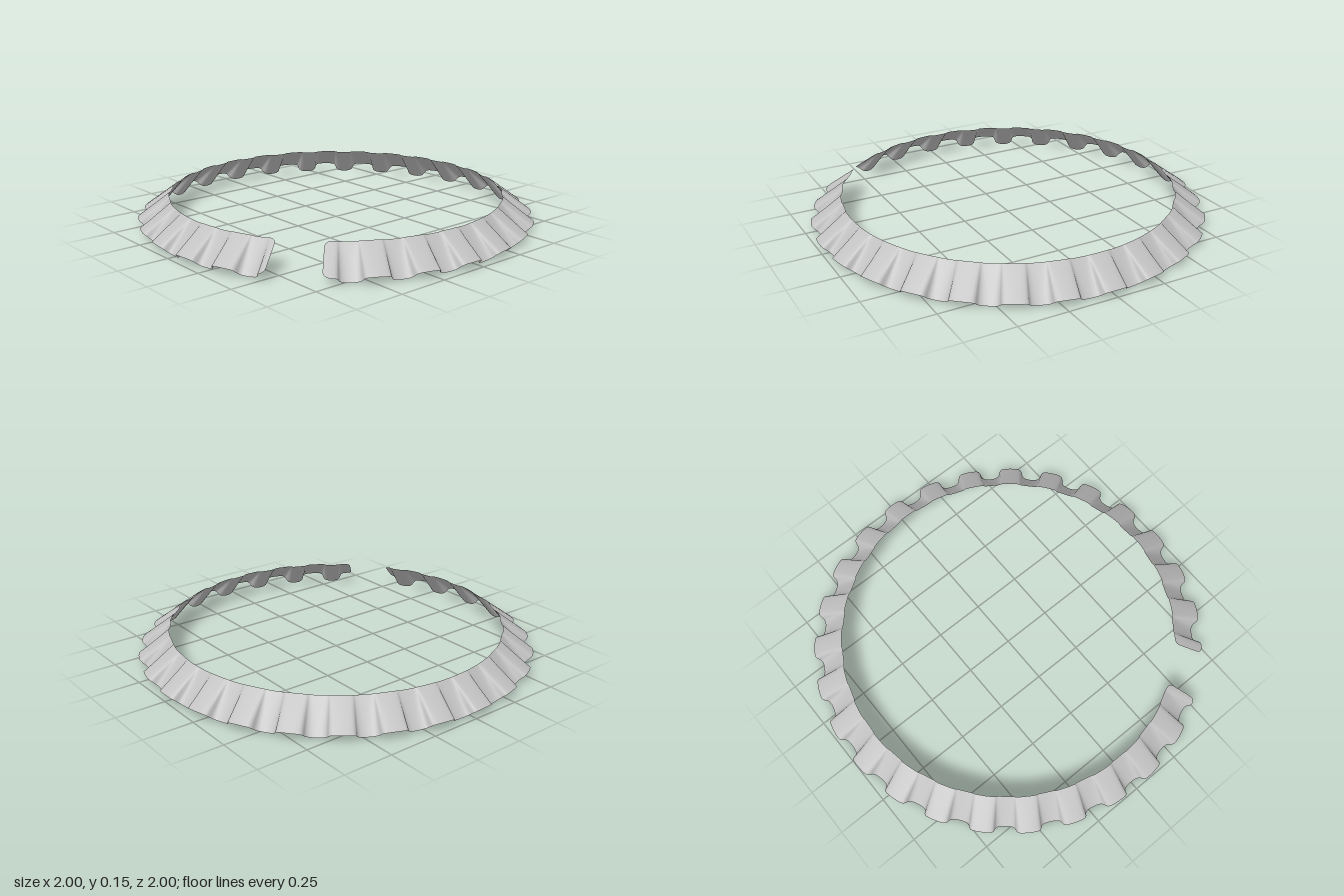
import * as THREE from 'three';

const PITCH = 2 * Math.PI / 27;  // angle of one pleat
const FIRST = -0.055;            // centre of one crest, clockwise from the back
const START = -2.125, END = 3.907; // the two ends of the open ring
const ROWS = 8;
const ROUND = 0.035;             // angle taken up by the rounded corners

// Half a pleat: [distance from the crest centre, height]: broad crest, steep wall, rounded valley
const HALF = [
  [0, 1], [0.1, 0.99], [0.19, 0.95], [0.235, 0.86], [0.26, 0.7], [0.275, 0.5],
  [0.29, 0.32], [0.32, 0.17], [0.37, 0.07], [0.43, 0.02], [0.5, 0],
];

function pleatHeight(angle) {
  let p = (angle - FIRST) / PITCH;
  p = Math.abs(p - Math.round(p));
  for (let i = 1; i < HALF.length; i++) {
    const [a, ha] = HALF[i - 1], [b, hb] = HALF[i];
    if (p <= b) return ha + (hb - ha) * (p - a) / (b - a);
  }
  return 0;
}

// Angles of all columns, with extra ones at the rounded ends
function columnAngles() {
  const angles = [];
  for (const d of [0, 0.03, 0.12, 0.3, 0.6, 1]) angles.push(START + d * ROUND, END - d * ROUND);
  const steps = [...HALF.slice(1).map(([p]) => -p), ...HALF.slice(0, -1).map(([p]) => p)];
  for (let k = -10; k <= 18; k++) {
    for (const p of steps) {
      const a = FIRST + (k + p) * PITCH;
      if (a > START + ROUND + 0.002 && a < END - ROUND - 0.002) angles.push(a);
    }
  }
  return angles.sort((a, b) => a - b);
}

// Sloping pleated strip, nearly flat at the top rim and fluted at the lower rim
function ruffleGeometry() {
  const angles = columnAngles(), pos = [], index = [];
  for (const a of angles) {
    const h = pleatHeight(a);
    const d = Math.min(1, Math.max(0, Math.min(a - START, END - a) / ROUND));
    const inset = 0.17 * (1 - Math.sqrt(1 - (1 - d) ** 2));
    for (let j = 0; j <= ROWS; j++) {
      const s = inset + (1 - 2 * inset) * j / ROWS;
      const lift = h * (0.12 + 0.88 * s);
      const r = 0.838 + 0.12 * s + 0.042 * lift;
      const y = 0.146 - 0.144 * s + 0.036 * lift;
      pos.push(r * Math.sin(a), y, -r * Math.cos(a));
    }
  }
  const n = ROWS + 1;
  for (let i = 0; i < angles.length - 1; i++) {
    for (let j = 0; j < ROWS; j++) {
      const a = i * n + j, b = a + n;
      index.push(a, b, a + 1, b, b + 1, a + 1);
    }
  }
  // Face fronts lie on the upper, outer side
  const g = new THREE.BufferGeometry();
  g.setAttribute('position', new THREE.Float32BufferAttribute(pos, 3));
  g.setIndex(index.reverse());
  g.computeVertexNormals();
  return g;
}

export function createModel() {
  const group = new THREE.Group();
  group.name = 'ruffledCollar';
  const cloth = new THREE.MeshStandardMaterial({ color: 0xc2c2c2, side: THREE.DoubleSide });
  cloth.name = 'light grey cloth';
  const ruffle = new THREE.Mesh(ruffleGeometry(), cloth);
  ruffle.name = 'pleatedRuffle';
  group.add(ruffle);
  return group;
}
